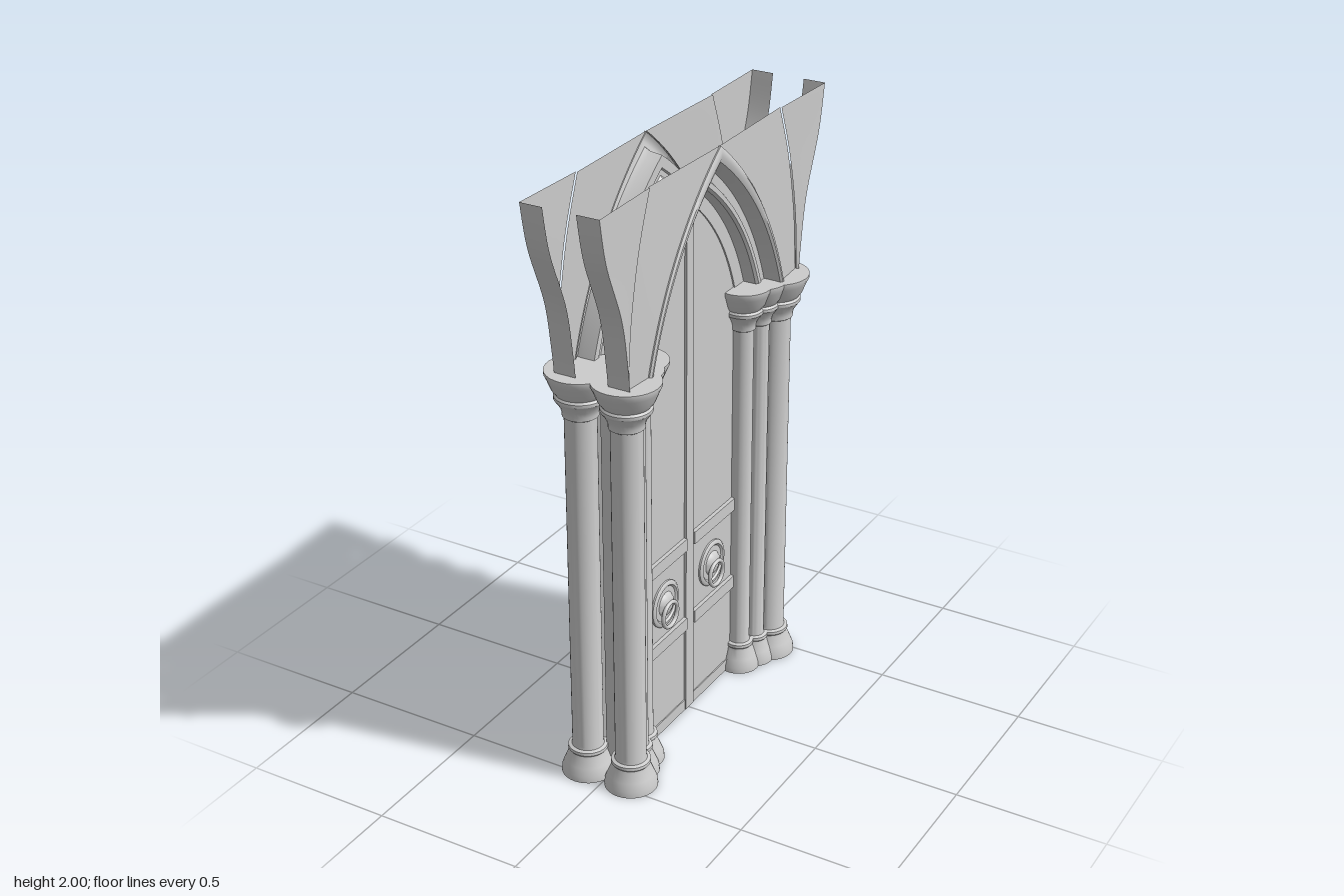
import * as THREE from 'three';
import { toCreasedNormals } from 'three/addons/utils/BufferGeometryUtils.js';

const SPRING = 1.42; // height where the arches start
const STEPS = 24;
const mat = new THREE.MeshStandardMaterial({ color: 0xcccccc, side: THREE.DoubleSide });

function add(parent, geometry, name, x = 0, y = 0, z = 0) {
  const mesh = new THREE.Mesh(geometry, mat);
  mesh.name = name;
  mesh.position.set(x, y, z);
  parent.add(mesh);
  return mesh;
}

// Skin a surface across rows of [x, y, z] points
function loft(rows) {
  const n = rows[0].length, index = [];
  for (let i = 0; i < rows.length - 1; i++) {
    for (let j = 0; j < n - 1; j++) {
      const a = i * n + j, b = a + n;
      index.push(a, b, a + 1, b, b + 1, a + 1);
    }
  }
  const g = new THREE.BufferGeometry();
  g.setAttribute('position', new THREE.Float32BufferAttribute(rows.flat(2), 3));
  g.setIndex(index);
  return toCreasedNormals(g, 0.6);
}

// Half of a pointed arch: t runs from springing to apex, returns [z, y]
function archPoint(w, h, t) {
  const k = 1 - t;
  return [w * (k * k + 2 * k * t * 0.72), SPRING + h * (2 * k * t * 0.62 + t * t)];
}

// Interpolate a [y, z] edge smoothly
function edge(points) {
  const curve = new THREE.SplineCurve(points.map(([y, z]) => new THREE.Vector2(y, z)));
  const samples = curve.getPoints(60);
  return (y) => {
    const i = Math.min(samples.length - 1, Math.max(1, samples.findIndex((p) => p.x >= y - 1e-6)));
    const a = samples[i - 1], b = samples[i];
    return THREE.MathUtils.lerp(a.y, b.y, THREE.MathUtils.clamp((y - a.x) / (b.x - a.x), 0, 1));
  };
}
const outerEdge = edge([[1.42, 0.52], [1.5, 0.53], [1.66, 0.56], [1.85, 0.635], [2, 0.667]]);
const creaseEdge = edge([[1.42, 0.515], [1.61, 0.5], [1.82, 0.455], [2, 0.39]]);

// Column with flared base and capital; inset slims the whole profile
function columnGeometry(inset) {
  const profile = [
    [0.086, 0], [0.084, 0.02], [0.074, 0.045], [0.062, 0.075], [0.06, 0.083], [0.064, 0.088],
    [0.063, 0.098], [0.052, 0.102], [0.05, 0.11], [0.05, 1.268], [0.056, 1.272], [0.056, 1.284],
    [0.061, 1.3], [0.074, 1.32], [0.08, 1.328], [0.08, 1.338], [0.075, 1.345], [0.086, 1.36],
    [0.1, 1.395], [0.107, 1.41], [0.107, SPRING],
  ].map(([r, y]) => new THREE.Vector2(r - inset, y));
  profile.push(new THREE.Vector2(0, SPRING));
  return toCreasedNormals(new THREE.LatheGeometry(profile, 32), 0.6);
}

// Everything on the +x face of the doorway
function createFace() {
  const face = new THREE.Group();
  face.name = 'doorwayFace';

  // Stepped archivolts: [half width, rise, x]
  const archProfile = [
    [0.413, 0.58, 0.122], [0.413, 0.58, 0.13], [0.407, 0.567, 0.136], [0.4, 0.548, 0.136],
    [0.393, 0.53, 0.13], [0.395, 0.52, 0.112], [0.395, 0.515, 0.07],
    [0.37, 0.475, 0.07], [0.365, 0.47, 0.076], [0.35, 0.45, 0.076], [0.342, 0.44, 0.068],
    [0.342, 0.44, 0.025], [0.285, 0.385, 0.025], [0.285, 0.385, 0.018],
  ];
  add(face, loft(archProfile.map(([w, h, x]) => {
    const row = [];
    for (let i = -STEPS; i <= STEPS; i++) {
      const [z, y] = archPoint(w, h, 1 - Math.abs(i) / STEPS);
      row.push([x, y, Math.sign(i) * z]);
    }
    return row;
  })), 'archMouldings');

  for (const side of [1, -1]) {
    // Spandrel, vault web beyond the crease, and end return
    const spandrel = [], web = [], end = [];
    for (let i = 0; i <= STEPS; i++) {
      const [z, y] = archPoint(0.41, 0.58, i / STEPS);
      const zc = creaseEdge(y) * side, zo = outerEdge(y) * side;
      spandrel.push([[0.126, y, z * side], [0.118, y, zc]]);
      web.push([[0.123, y, zc], [0.13, y, zo]]);
      end.push([[0.13, y, zo], [0.055, y, zo]]);
    }
    add(face, loft(spandrel), 'spandrel');
    add(face, loft(web), 'vaultWeb');
    add(face, loft(end), 'endReturn');

    // Clustered columns
    add(face, columnGeometry(0), 'outerColumn', 0.08, 0, side * 0.46);
    add(face, columnGeometry(0.018), 'middleColumn', 0.062, 0, side * 0.385);
    add(face, columnGeometry(0.015), 'innerColumn', 0.038, 0, side * 0.32);

    // Door rails
    for (const y of [0.342, 0.64]) {
      add(face, new THREE.BoxGeometry(0.022, 0.044, 0.27), 'doorRail', 0.022, y, side * 0.16);
    }

    // Knocker: dished plate, boss and hanging ring
    const knocker = new THREE.Group();
    knocker.name = 'doorKnocker';
    knocker.position.set(0.02, 0.483, side * 0.15);
    const plate = [[0.08, 0], [0.08, 0.006], [0.074, 0.011], [0.066, 0.011], [0.06, 0.005],
      [0.042, 0.006], [0.034, 0.016], [0.018, 0.022], [0, 0.023]]
      .map(([r, h]) => new THREE.Vector2(r, h));
    add(knocker, toCreasedNormals(new THREE.LatheGeometry(plate, 32), 0.7), 'knockerPlate')
      .rotation.z = -Math.PI / 2;
    const ring = add(knocker, new THREE.TorusGeometry(0.043, 0.007, 10, 32), 'knockerRing', 0.023, -0.034, 0);
    ring.rotation.y = Math.PI / 2;
    face.add(knocker);
  }
  return face;
}

export function createModel() {
  const model = new THREE.Group();
  model.name = 'gothicDoorway';

  // Pointed door slab
  const shape = new THREE.Shape();
  shape.moveTo(-0.287, 0.005);
  shape.lineTo(0.287, 0.005);
  for (let i = 0; i <= STEPS; i++) shape.lineTo(...archPoint(0.287, 0.385, i / STEPS));
  for (let i = STEPS - 1; i >= 0; i--) {
    const [z, y] = archPoint(0.287, 0.385, i / STEPS);
    shape.lineTo(-z, y);
  }
  const slab = new THREE.ExtrudeGeometry(shape, { depth: 0.04, bevelEnabled: false });
  slab.translate(0, 0, -0.02);
  slab.rotateY(-Math.PI / 2);
  add(model, slab, 'doorSlab');

  // Centre post, slightly narrowing upward, and threshold
  const post = new THREE.BoxGeometry(0.056, 1.79, 0.05);
  const p = post.attributes.position;
  for (let i = 0; i < p.count; i++) if (p.getY(i) > 0) p.setZ(i, p.getZ(i) * 0.8);
  add(model, post, 'centrePost', 0, 0.9, 0);
  add(model, new THREE.BoxGeometry(0.048, 0.04, 0.58), 'threshold', 0, 0.022, 0);

  // Solid jambs joining the columns of both faces
  for (const side of [1, -1]) {
    add(model, new THREE.BoxGeometry(0.06, 1.4, 0.14), 'jamb', 0, 0.71, side * 0.36);
  }

  const front = createFace();
  const back = createFace();
  back.rotation.y = Math.PI;
  model.add(front, back);
  return model;
}
